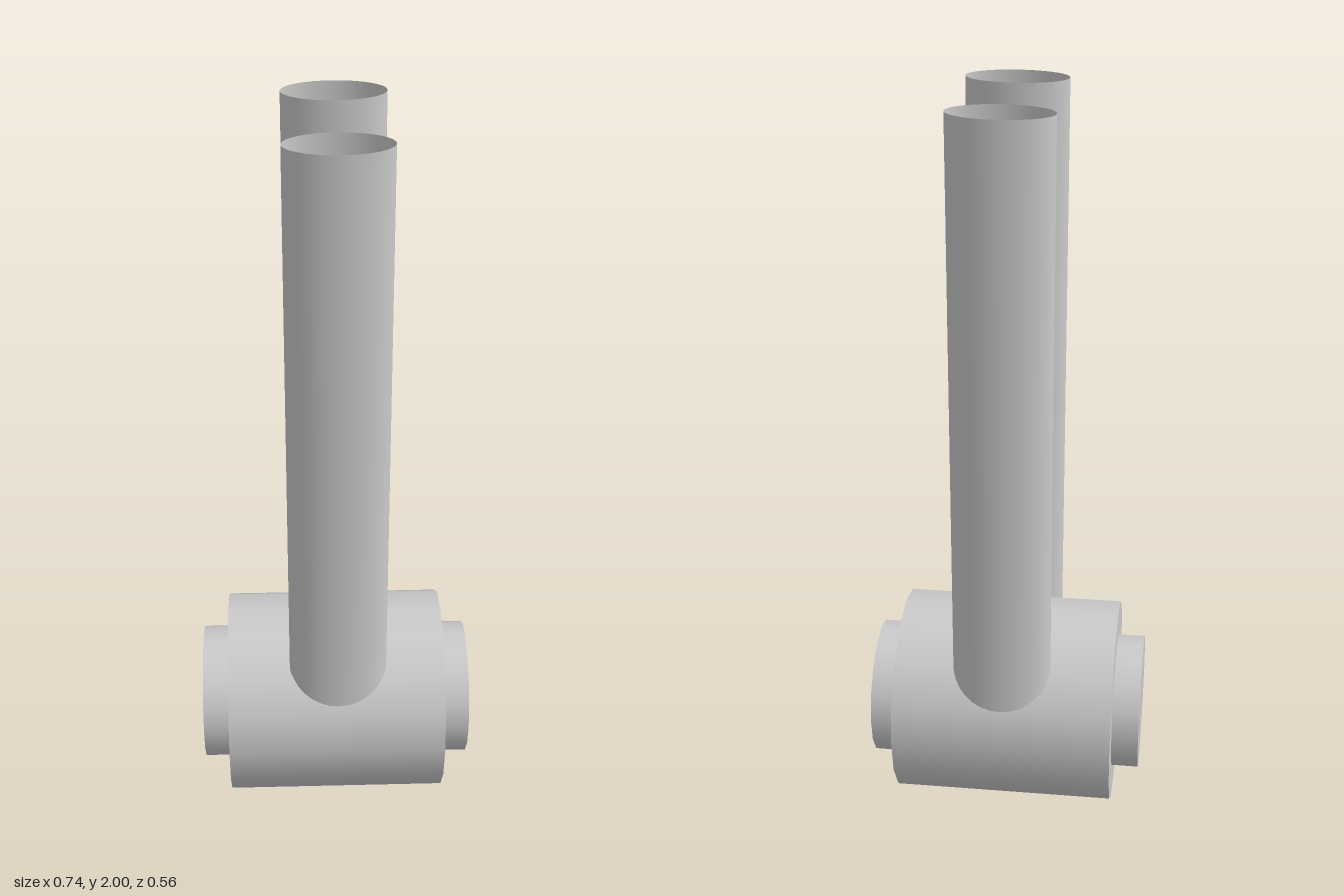
import * as THREE from 'three';

export function createModel() {
  const group = new THREE.Group();
  const solid = new THREE.MeshStandardMaterial({ color: 0xcccccc });
  const open = new THREE.MeshStandardMaterial({ color: 0xcccccc, side: THREE.DoubleSide });
  const axisY = 0.28;

  // Horizontal cylinder along x, between x0 and x1
  function barrel(name, radius, x0, x1) {
    const geo = new THREE.CylinderGeometry(radius, radius, x1 - x0, 16).rotateZ(Math.PI / 2);
    const mesh = new THREE.Mesh(geo, solid);
    mesh.name = name;
    mesh.position.set((x0 + x1) / 2, axisY, 0);
    group.add(mesh);
  }

  // Upright open tube with an oval section, sunk into the barrel
  function tube(name, z, halfDepth) {
    const bottom = 0.3, top = 2;
    const geo = new THREE.CylinderGeometry(1, 1, top - bottom, 32, 1, true).scale(0.132, 1, halfDepth);
    const mesh = new THREE.Mesh(geo, open);
    mesh.name = name;
    mesh.position.set(0.004, (top + bottom) / 2, z);
    group.add(mesh);
  }

  barrel('hubBarrel', 0.28, -0.298, 0.297);
  barrel('axlePin', 0.186, -0.371, 0.371);
  tube('frontTube', 0.171, 0.071);
  tube('backTube', -0.186, 0.072);

  return group;
}
